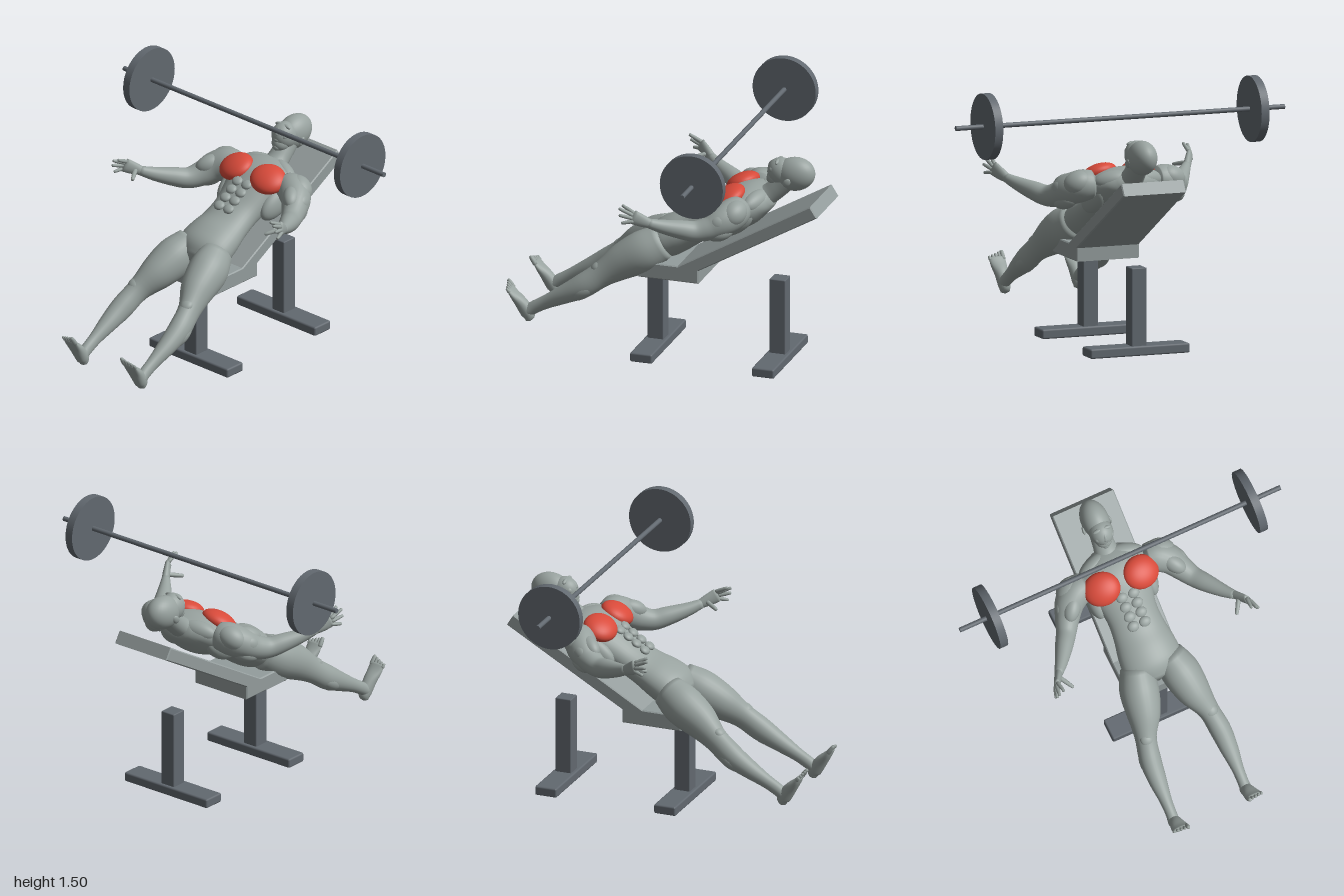
import * as THREE from 'three';
import { RoundedBoxGeometry } from 'three/addons/geometries/RoundedBoxGeometry.js';

const skin = new THREE.MeshStandardMaterial({ color: 0x98a29f, name: 'grey skin' });
const pad = new THREE.MeshStandardMaterial({ color: 0x949d9d, name: 'grey pad' });
const iron = new THREE.MeshStandardMaterial({ color: 0x626970, name: 'dark iron' });
const red = new THREE.MeshStandardMaterial({ color: 0xd84a3a, name: 'muscle red' });

function add(parent, name, geometry, material) {
  const mesh = new THREE.Mesh(geometry, material);
  mesh.name = name;
  parent.add(mesh);
  return mesh;
}

// Smooth body through cross-sections [x, y, z, radius along ref, radius across]
function loft(sections, ref = new THREE.Vector3(1, 0, 0), sides = 28, perSpan = 5) {
  const path = new THREE.CatmullRomCurve3(sections.map(s => new THREE.Vector3(s[0], s[1], s[2])), false, 'catmullrom');
  const radii = new THREE.CatmullRomCurve3(sections.map(s => new THREE.Vector3(s[3], s[4], 0)), false, 'catmullrom');
  const steps = (sections.length - 1) * perSpan;
  const pos = [], idx = [];
  for (let i = 0; i <= steps; i++) {
    const t = i / steps, c = path.getPoint(t), r = radii.getPoint(t), tan = path.getTangent(t);
    const side = ref.clone().addScaledVector(tan, -ref.dot(tan)).normalize();
    const up = tan.clone().cross(side);
    for (let j = 0; j < sides; j++) {
      const a = j / sides * Math.PI * 2;
      const p = c.clone().addScaledVector(side, Math.cos(a) * r.x).addScaledVector(up, Math.sin(a) * r.y);
      pos.push(p.x, p.y, p.z);
    }
  }
  for (let i = 0; i < steps; i++) for (let j = 0; j < sides; j++) {
    const k = (j + 1) % sides, a = i * sides + j, b = i * sides + k, c = b + sides, d = a + sides;
    idx.push(a, b, c, a, c, d);
  }
  // Rounded-off end caps
  const first = pos.length / 3, last = steps * sides;
  for (const t of [0, 1]) {
    const r = radii.getPoint(t), p = path.getPoint(t);
    p.addScaledVector(path.getTangent(t), (t ? 1 : -1) * Math.min(r.x, r.y) * 0.5);
    pos.push(p.x, p.y, p.z);
  }
  for (let j = 0; j < sides; j++) {
    const k = (j + 1) % sides;
    idx.push(first, k, j, first + 1, last + j, last + k);
  }
  const g = new THREE.BufferGeometry();
  g.setAttribute('position', new THREE.Float32BufferAttribute(pos, 3));
  g.setIndex(idx);
  g.computeVertexNormals();
  return g;
}

function ball(parent, name, p, r, rot = [0, 0, 0], material = skin) {
  const m = add(parent, name, new THREE.SphereGeometry(1, 32, 20), material);
  m.position.set(...p);
  m.scale.set(...r);
  m.rotation.set(...rot);
  return m;
}

// Thin rounded rod for fingers and toes
function digit(parent, name, a, b, r) {
  const mid = a.map((v, i) => (v + b[i]) / 2);
  add(parent, name, loft([[...a, r, r], [...mid, r, r], [...b, r * 0.75, r * 0.75]], new THREE.Vector3(1, 0, 0), 10, 3), skin);
}

function buildBench() {
  const bench = new THREE.Group();
  bench.name = 'bench';
  // Seat and sloping back in one side profile (z, y)
  const shape = new THREE.Shape([[0.13, 0.48], [-0.215, 0.48], [-0.215, 0.555], [-0.92, 0.96], [-0.885, 1.015], [-0.1, 0.56], [0.13, 0.56]]
    .map(p => new THREE.Vector2(...p)));
  const g = new THREE.ExtrudeGeometry(shape, { depth: 0.37, bevelThickness: 0.006, bevelSize: 0.006, bevelSegments: 1 });
  g.translate(0, 0, -0.185).rotateY(-Math.PI / 2);
  add(bench, 'seatAndBack', g, pad);
  // Two T-shaped stands
  for (const [z, top] of [[0.083, 0.485], [-0.643, 0.5]]) {
    add(bench, 'standFoot', new RoundedBoxGeometry(0.605, 0.055, 0.132, 1, 0.01), iron).position.set(0, 0.0275, z);
    add(bench, 'standPost', new RoundedBoxGeometry(0.092, top - 0.04, 0.095, 1, 0.006), iron).position.set(0, (top + 0.04) / 2, z);
  }
  return bench;
}

function buildBarbell() {
  const bell = new THREE.Group();
  bell.name = 'barbell';
  add(bell, 'bar', new THREE.CylinderGeometry(0.014, 0.014, 2, 20), iron);
  for (const s of [-1, 1])
    add(bell, 'weightPlate', new THREE.CylinderGeometry(0.188, 0.188, 0.048, 56), iron).position.y = s * 0.81;
  bell.rotation.z = Math.PI / 2;
  bell.position.set(0, 1.315, -0.4);
  return bell;
}

function buildHead() {
  const head = new THREE.Group();
  head.name = 'head';
  ball(head, 'skull', [0, 1.135, -0.732], [0.08, 0.098, 0.12], [0.2, 0, 0]);
  ball(head, 'face', [0, 1.14, -0.655], [0.07, 0.085, 0.08], [0.9, 0, 0]);
  ball(head, 'jaw', [0, 1.105, -0.622], [0.052, 0.05, 0.055]);
  ball(head, 'chin', [0, 1.09, -0.59], [0.026, 0.024, 0.026]);
  ball(head, 'lips', [0, 1.135, -0.583], [0.024, 0.014, 0.014], [0.9, 0, 0]);
  add(head, 'nose', loft([[0, 1.205, -0.625, 0.01, 0.012], [0, 1.185, -0.598, 0.013, 0.016], [0, 1.163, -0.585, 0.018, 0.014]], undefined, 14, 4), skin);
  for (const s of [-1, 1]) {
    ball(head, 'brow', [s * 0.03, 1.207, -0.638], [0.027, 0.012, 0.012], [0, 0, s * -0.2]);
    ball(head, 'cheek', [s * 0.036, 1.158, -0.612], [0.022, 0.022, 0.022]);
    ball(head, 'ear', [s * 0.079, 1.105, -0.71], [0.01, 0.028, 0.02], [-0.6, s * 0.3, 0]);
  }
  add(head, 'neck', loft([[0, 0.95, -0.51, 0.1, 0.07], [0, 1.0, -0.585, 0.07, 0.06], [0, 1.05, -0.64, 0.062, 0.06], [0, 1.1, -0.69, 0.06, 0.06]]), skin);
  return head;
}

function buildTorso() {
  const torso = new THREE.Group();
  torso.name = 'torso';
  add(torso, 'trunk', loft([
    [0, 0.62, 0.09, 0.1, 0.07], [0, 0.66, 0.03, 0.17, 0.11], [0, 0.705, -0.05, 0.173, 0.112],
    [0, 0.755, -0.15, 0.155, 0.097], [0, 0.81, -0.25, 0.15, 0.098], [0, 0.87, -0.35, 0.175, 0.112],
    [0, 0.915, -0.43, 0.21, 0.122], [0, 0.95, -0.5, 0.215, 0.108], [0, 0.975, -0.565, 0.155, 0.075], [0, 0.99, -0.6, 0.08, 0.05],
  ], undefined, 40), skin);
  for (const s of [-1, 1]) {
    ball(torso, 'chestMuscle', [s * 0.122, 1.0, -0.383], [0.108, 0.055, 0.098], [0.45, 0, s * -0.18], red);
    ball(torso, 'trapezius', [s * 0.1, 0.985, -0.535], [0.11, 0.055, 0.05], [0.4, s * -0.35, 0]);
    ball(torso, 'sideBackMuscle', [s * 0.165, 0.87, -0.41], [0.055, 0.08, 0.14], [0.5, 0, 0]);
    // Rows of stomach muscle
    for (let i = 0; i < 4; i++)
      ball(torso, 'abdominal', [s * 0.036, 0.868 + i * 0.033, -0.148 - i * 0.05], [0.034, 0.018, 0.03], [0.55, 0, 0]);
  }
  return torso;
}

function buildArm(s) {
  const arm = new THREE.Group();
  arm.name = s > 0 ? 'leftArm' : 'rightArm';
  const m = ([x, ...rest]) => [s * x, ...rest];
  const up = new THREE.Vector3(0, 1, 0);
  add(arm, 'armLimb', loft([
    [0.19, 0.955, -0.46, 0.08, 0.08], [0.25, 0.95, -0.45, 0.092, 0.09], [0.31, 0.925, -0.41, 0.088, 0.085],
    [0.355, 0.89, -0.345, 0.072, 0.07], [0.395, 0.875, -0.275, 0.06, 0.058], [0.44, 0.893, -0.205, 0.054, 0.052],
    [0.5, 0.922, -0.115, 0.04, 0.038], [0.55, 0.952, -0.045, 0.027, 0.024],
  ].map(m), up), skin);
  // Shoulder and upper arm muscle masses
  ball(arm, 'deltoid', m([0.285, 0.965, -0.465]), [0.088, 0.07, 0.07], [0, s * -0.4, s * -0.4]);
  ball(arm, 'biceps', m([0.315, 0.955, -0.37]), [0.05, 0.055, 0.085], [0.4, s * 0.6, 0]);
  ball(arm, 'triceps', m([0.335, 0.865, -0.4]), [0.055, 0.052, 0.08], [0.3, s * 0.5, 0]);
  ball(arm, 'outerArmMuscle', m([0.365, 0.93, -0.41]), [0.035, 0.05, 0.06], [0.3, s * 0.5, 0]);
  add(arm, 'palm', loft([[0.545, 0.948, -0.055, 0.026, 0.022], [0.57, 0.97, -0.015, 0.036, 0.021], [0.597, 0.997, 0.03, 0.042, 0.017]].map(m), up, 20), skin);
  const fingers = [
    [[0.59, 1.02, 0.025], [0.585, 1.055, 0.095]], [[0.6, 1.01, 0.03], [0.615, 1.045, 0.105]],
    [[0.605, 0.992, 0.03], [0.627, 1.01, 0.1]], [[0.605, 0.975, 0.025], [0.628, 0.965, 0.085]],
  ];
  for (const [a, b] of fingers) digit(arm, 'finger', m(a), m(b), 0.011);
  digit(arm, 'thumb', m([0.56, 0.965, -0.02]), m([0.51, 0.945, 0.06]), 0.013);
  return arm;
}

function buildLeg(s) {
  const leg = new THREE.Group();
  leg.name = s > 0 ? 'leftLeg' : 'rightLeg';
  const m = ([x, ...rest]) => [s * x, ...rest];
  add(leg, 'legLimb', loft([
    [0.1, 0.67, 0.02, 0.09, 0.1], [0.128, 0.61, 0.12, 0.112, 0.12], [0.155, 0.545, 0.235, 0.098, 0.105],
    [0.195, 0.465, 0.35, 0.062, 0.074], [0.217, 0.39, 0.455, 0.062, 0.07], [0.223, 0.33, 0.56, 0.053, 0.055],
    [0.224, 0.27, 0.67, 0.036, 0.04], [0.224, 0.23, 0.74, 0.032, 0.037], [0.225, 0.2, 0.785, 0.034, 0.036],
  ].map(m)), skin);
  ball(leg, 'kneecap', m([0.2, 0.505, 0.375]), [0.04, 0.03, 0.045], [0.6, 0, 0]);
  ball(leg, 'calfMuscle', m([0.222, 0.365, 0.46]), [0.058, 0.05, 0.1], [0.55, 0, 0]);
  add(leg, 'foot', loft([
    [0.223, 0.15, 0.772, 0.026, 0.022], [0.224, 0.185, 0.78, 0.034, 0.04], [0.225, 0.245, 0.82, 0.04, 0.036],
    [0.227, 0.295, 0.862, 0.048, 0.022], [0.228, 0.33, 0.886, 0.048, 0.012],
  ].map(m), undefined, 22), skin);
  // Toes, the big one on the inner side
  for (let i = 0; i < 5; i++) {
    const x = 0.19 + i * 0.02;
    digit(leg, 'toe', m([x, 0.318, 0.878]), m([x + 0.002, 0.362 - i * 0.006, 0.908 - i * 0.004]), i ? 0.009 : 0.013);
  }
  return leg;
}

export function createModel() {
  const model = new THREE.Group();
  model.name = 'inclineBenchPress';
  const athlete = new THREE.Group();
  athlete.name = 'athlete';
  athlete.add(buildHead(), buildTorso());
  for (const s of [-1, 1]) athlete.add(buildArm(s), buildLeg(s));
  model.add(buildBench(), buildBarbell(), athlete);
  return model;
}
